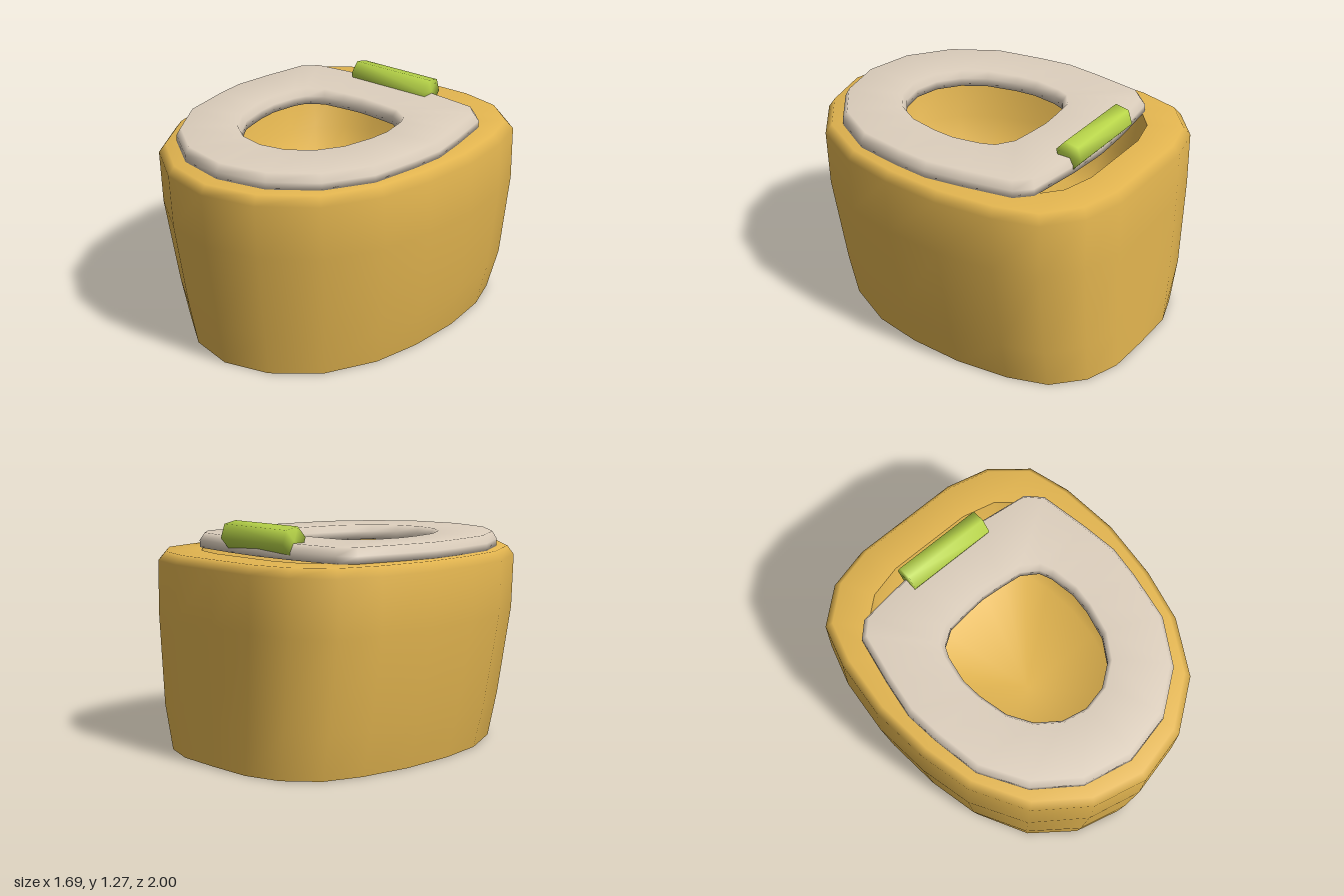
import * as THREE from 'three';
import { mergeVertices } from 'three/addons/utils/BufferGeometryUtils.js';

// Half outlines [x, z] running from the front, round the left side, to the back.
const bodyHalf = [[0, 1], [0.30, 0.93], [0.57, 0.73], [0.74, 0.43], [0.81, 0.13], [0.84, -0.21],
  [0.81, -0.54], [0.74, -0.78], [0.55, -0.94], [0.31, -1], [0, -1]];
const footHalf = [[0, 0.866], [0.26, 0.80], [0.49, 0.62], [0.64, 0.335], [0.70, 0.055], [0.72, -0.26],
  [0.69, -0.56], [0.62, -0.78], [0.46, -0.93], [0.26, -0.995], [0, -1]];
const seatHalf = [[0, 0.88], [0.28, 0.82], [0.51, 0.65], [0.66, 0.40], [0.71, 0.12], [0.73, -0.07],
  [0.70, -0.29], [0.65, -0.56], [0.57, -0.64], [0.25, -0.68], [0, -0.695]];
const holeHalf = [[0, 0.52], [0.14, 0.49], [0.26, 0.40], [0.34, 0.27], [0.38, 0.10], [0.39, -0.02],
  [0.365, -0.17], [0.335, -0.24], [0.245, -0.30], [0.12, -0.315], [0, -0.325]];

const mirror = (half) => [...half, ...half.slice(1, -1).reverse().map(([x, z]) => [-x, z])];

// Place an outline at height y, scaled by sx and sz about the depth z0.
const ring = (half, y, sx = 1, sz = sx, z0 = 0) =>
  mirror(half).map(([x, z]) => [x * sx, y, z0 + (z - z0) * sz]);

// Join rings of equal length into one smooth skin, optionally closed by a tip
// or by returning to the first ring.
function loft(rings, { tip, loop } = {}) {
  const n = rings[0].length;
  const points = rings.flat();
  const total = points.length;
  const index = [];
  for (let i = 0; i < rings.length - (loop ? 0 : 1); i++) {
    for (let j = 0; j < n; j++) {
      const a = i * n + j, b = i * n + (j + 1) % n;
      const c = (b + n) % total, d = (a + n) % total;
      index.push(a, b, c, a, c, d);
    }
  }
  if (tip) {
    const base = total - n;
    for (let j = 0; j < n; j++) index.push(base + j, base + (j + 1) % n, total);
    points.push(tip);
  }
  const geometry = new THREE.BufferGeometry();
  geometry.setAttribute('position', new THREE.Float32BufferAttribute(points.flat(), 3));
  geometry.setIndex(index);
  geometry.computeVertexNormals();
  return geometry;
}

export function createModel() {
  const group = new THREE.Group();
  const material = (name, color, side = THREE.FrontSide) => {
    const m = new THREE.MeshStandardMaterial({ color, side });
    m.name = name;
    return m;
  };
  const gold = material('gold', 0xe4b650, THREE.DoubleSide);
  const cream = material('cream', 0xded0be);
  const green = material('green', 0xb8d549);

  const add = (name, geometry, mat) => {
    const mesh = new THREE.Mesh(geometry, mat);
    mesh.name = name;
    group.add(mesh);
    return mesh;
  };

  // Hollow body: straight back, sides and front flaring up to a bevelled rim
  add('body', loft([
    ring(footHalf, 0),
    ring(bodyHalf, 0.25, 0.925, 0.955, -1),
    ring(bodyHalf, 0.75, 1.003, 0.99, -1),
    ring(bodyHalf, 1.05, 1, 1),
    ring(bodyHalf, 1.1, 0.953, 0.965),
    ring(bodyHalf, 1.1, 0.78, 0.78),
  ]), gold);

  // Wide bowl hanging inside the body
  add('bowl', loft([
    ring(bodyHalf, 1.1, 0.78),
    ring(bodyHalf, 0.8, 0.73),
    ring(bodyHalf, 0.54, 0.59),
  ], { tip: [0, 0.48, 0.05] }), gold);

  // Seat ring with bevelled outer and inner edges
  add('seat', loft([
    ring(seatHalf, 1.098),
    ring(seatHalf, 1.14),
    ring(seatHalf, 1.183, 0.963, 0.972, 0.09),
    ring(holeHalf, 1.183, 1.06, 1.05, 0.09),
    ring(holeHalf, 1.145),
    ring(holeHalf, 1.098),
  ], { loop: true }), cream);

  // Six-sided hinge bar across the back of the seat, softly shaded over its ends
  const bar = new THREE.CylinderGeometry(0.08, 0.08, 0.52, 6);
  bar.rotateZ(Math.PI / 2).rotateX(-0.2);
  bar.deleteAttribute('normal');
  bar.deleteAttribute('uv');
  const softBar = mergeVertices(bar);
  softBar.computeVertexNormals();
  add('hinge', softBar, green).position.set(0, 1.195, -0.651);

  return group;
}
